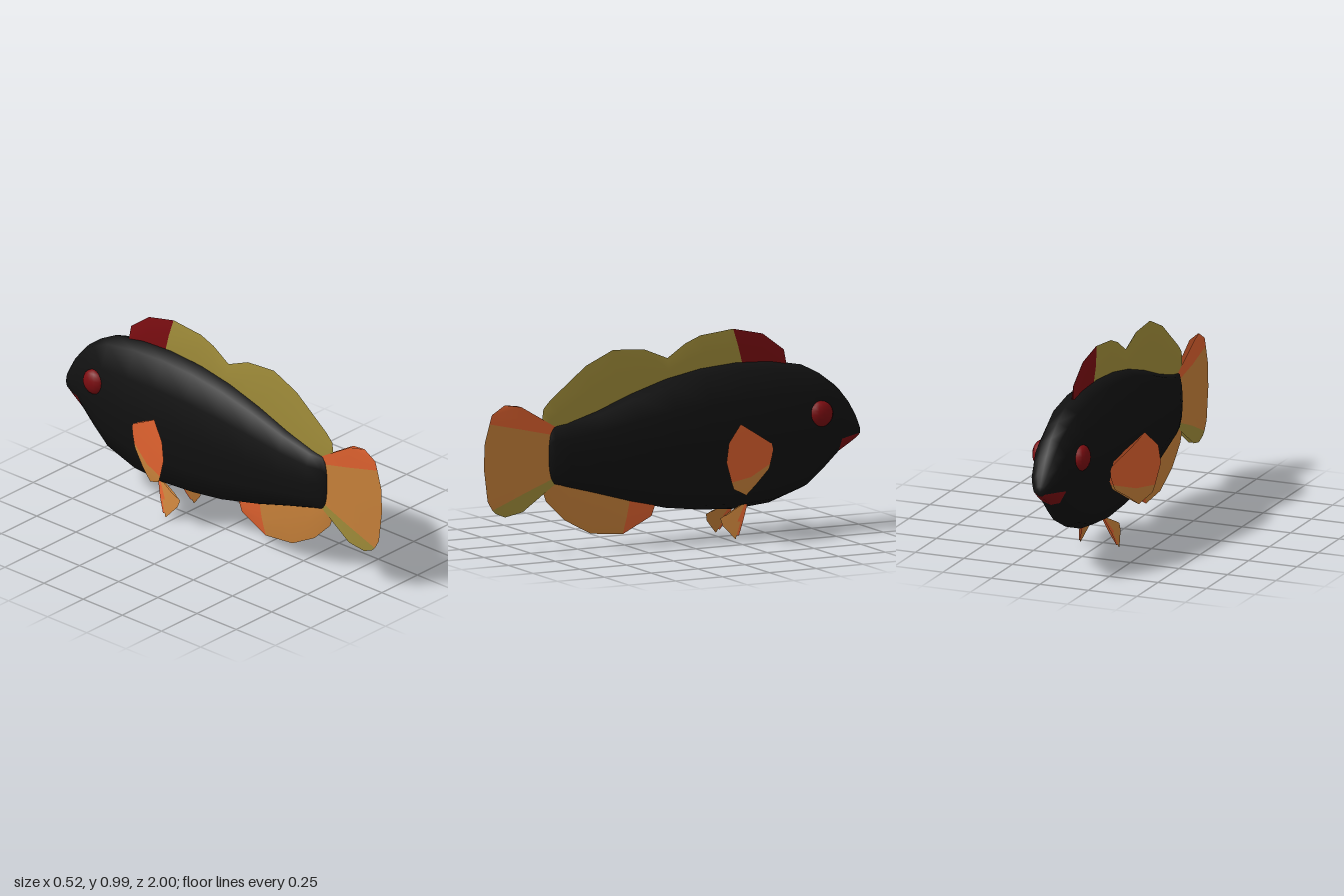
import * as THREE from 'three';

const mat = (name, color, side = THREE.FrontSide) => {
  const m = new THREE.MeshStandardMaterial({ color, side });
  m.name = name;
  return m;
};

function makeGeometry(positions, indices) {
  const g = new THREE.BufferGeometry();
  g.setAttribute('position', new THREE.Float32BufferAttribute(positions, 3));
  g.setIndex(indices);
  g.computeVertexNormals();
  return g;
}

// Lofted body: 12-sided rings along z, with the mouth as its own face group
function bodyGeometry() {
  // z, top, bottom, half width
  const rings = [
    [-0.995, 0.485, 0.435, 0.025], [-0.97, 0.54, 0.42, 0.052], [-0.925, 0.615, 0.393, 0.075],
    [-0.87, 0.685, 0.36, 0.092], [-0.79, 0.745, 0.285, 0.108], [-0.695, 0.795, 0.205, 0.125],
    [-0.52, 0.828, 0.147, 0.136], [-0.34, 0.836, 0.131, 0.138], [-0.15, 0.822, 0.142, 0.132],
    [0.03, 0.788, 0.165, 0.121], [0.22, 0.73, 0.21, 0.102], [0.4, 0.662, 0.262, 0.078],
    [0.56, 0.615, 0.305, 0.053], [0.63, 0.606, 0.322, 0.03], [0.655, 0.57, 0.36, 0.012],
  ];
  const heights = [1, 0.91, 0.53, 0, -0.53, -0.91, -1];
  const n = 12, pos = [], skin = [], mouth = [];
  for (const [z, top, bottom, w] of rings) {
    for (let k = 0; k < n; k++) {
      const h = heights[k <= 6 ? k : n - k];
      pos.push(w * Math.sin(k * Math.PI / 6), (top + bottom) / 2 + h * (top - bottom) / 2, z);
    }
  }
  for (let i = 0; i < rings.length - 1; i++) {
    for (let k = 0; k < n; k++) {
      const a = i * n + k, b = i * n + (k + 1) % n;
      (i < 3 && k >= 4 && k <= 7 ? mouth : skin).push(a, a + n, b, b, a + n, b + n);
    }
  }
  // nose and tail caps
  const nose = rings.length * n, end = nose + 1, last = nose - n;
  pos.push(0, 0.458, -1, 0, 0.465, 0.668);
  for (let k = 0; k < n; k++) {
    const k2 = (k + 1) % n;
    skin.push(nose, k, k2, end, last + k2, last + k);
  }
  const g = makeGeometry(pos, [...skin, ...mouth]);
  g.addGroup(0, skin.length, 0);
  g.addGroup(skin.length, mouth.length, 1);
  return g;
}

// Two-sided bulging fin. Rows of [z, y] run from root to edge;
// lean(z, y) gives the sideways offset and mirror is 1 or -1.
function finGeometry(rows, thick, lean = () => 0, mirror = 1) {
  if (rows.length === 2) {
    const [root, edge] = rows;
    rows = [root, root.map((p, i) => [p[0] * 0.45 + edge[i][0] * 0.55, p[1] * 0.45 + edge[i][1] * 0.55]), edge];
  }
  const cols = rows[0].length, pos = [], idx = [];
  const half = [thick * 0.7, thick, 0.0012];
  for (const s of [1, -1]) {
    const start = pos.length / 3;
    rows.forEach((row, j) => row.forEach(([z, y]) => pos.push(mirror * (lean(z, y) + s * half[j]), y, z)));
    for (let j = 0; j < 2; j++) {
      for (let i = 0; i < cols - 1; i++) {
        const a = start + j * cols + i, b = a + 1, c = a + cols, d = c + 1;
        if (s * mirror > 0) idx.push(a, b, c, b, d, c);
        else idx.push(a, c, b, b, c, d);
      }
    }
  }
  return makeGeometry(pos, idx);
}

export function createModel() {
  const model = new THREE.Group();
  model.name = 'fish';
  const black = mat('blackSkin', 0x111111);
  const red = mat('darkRed', 0x7c0d11);
  const coral = mat('coralOrange', 0xe0622f, THREE.DoubleSide);
  const orange = mat('amberOrange', 0xc9823a, THREE.DoubleSide);
  const olive = mat('oliveYellow', 0xa28e3a, THREE.DoubleSide);
  const redFin = mat('redFin', 0x7c0d11, THREE.DoubleSide);

  const add = (name, geometry, material) => {
    const mesh = new THREE.Mesh(geometry, material);
    mesh.name = name;
    model.add(mesh);
    return mesh;
  };

  add('body', bodyGeometry(), [black, red]);

  // Back fin: long olive part with two lobes, red front
  add('dorsalFinRear', finGeometry([
    [[0.64, 0.57], [0.62, 0.57], [0.55, 0.59], [0.42, 0.63], [0.29, 0.68], [0.144, 0.73], [0.02, 0.76], [-0.09, 0.78], [-0.2, 0.8], [-0.38, 0.81]],
    [[0.69, 0.63], [0.682, 0.69], [0.645, 0.73], [0.455, 0.88], [0.31, 0.945], [0.144, 0.934], [0.02, 0.882], [-0.075, 0.945], [-0.155, 0.977], [-0.33, 0.995]],
  ], 0.009), olive);
  add('dorsalFinFront', finGeometry([
    [[-0.38, 0.81], [-0.48, 0.81], [-0.56, 0.79], [-0.6, 0.79]],
    [[-0.33, 0.995], [-0.487, 0.96], [-0.6, 0.875], [-0.615, 0.8]],
  ], 0.009), redFin);

  // Tail fin in three bands
  add('tailFinLower', finGeometry([
    [[0.62, 0.33], [0.62, 0.345], [0.62, 0.36]],
    [[0.8, 0.207], [0.79, 0.25], [0.78, 0.3]],
    [[0.888, 0.187], [0.936, 0.207], [0.955, 0.225]],
  ], 0.012), olive);
  add('tailFinMiddle', finGeometry([
    [[0.62, 0.36], [0.62, 0.4], [0.62, 0.46], [0.62, 0.51], [0.62, 0.56]],
    [[0.78, 0.3], [0.79, 0.35], [0.8, 0.45], [0.8, 0.53], [0.79, 0.6]],
    [[0.955, 0.225], [0.98, 0.27], [1, 0.43], [0.995, 0.55], [0.97, 0.64]],
  ], 0.012), orange);
  add('tailFinUpper', finGeometry([
    [[0.62, 0.56], [0.62, 0.58], [0.62, 0.6]],
    [[0.79, 0.6], [0.79, 0.65], [0.807, 0.712]],
    [[0.97, 0.64], [0.957, 0.683], [0.888, 0.725]],
  ], 0.012), coral);

  // Belly fin near the tail
  add('analFinFront', finGeometry([
    [[0.09, 0.21], [0.13, 0.22], [0.22, 0.24]],
    [[0.088, 0.18], [0.107, 0.132], [0.25, 0.057], ].map((p, i) => i < 2 ? p : [0.26, 0.057]),
  ], 0.009), coral);
  add('analFinRear', finGeometry([
    [[0.22, 0.24], [0.36, 0.28], [0.48, 0.31], [0.58, 0.34], [0.62, 0.345]],
    [[0.26, 0.057], [0.43, 0.073], [0.57, 0.148], [0.668, 0.245], [0.685, 0.29]],
  ], 0.009), orange);

  // Paired side fins, belly fins and eyes
  const sideLean = (z) => 0.133 + (z + 0.46) * 0.42;
  const bellyLean = (z, y) => 0.057 + (0.155 - y) * 0.29;
  for (const [side, m] of [['left', 1], ['right', -1]]) {
    add(side + 'PectoralFinLower', finGeometry([
      [[-0.444, 0.335], [-0.45, 0.345], [-0.455, 0.36]],
      [[-0.36, 0.277], [-0.33, 0.293], [-0.32, 0.315]],
      [[-0.294, 0.23], [-0.21, 0.27], [-0.195, 0.305]],
    ], 0.009, sideLean, m), orange);
    add(side + 'PectoralFinUpper', finGeometry([
      [[-0.455, 0.36], [-0.47, 0.4], [-0.472, 0.43], [-0.465, 0.455]],
      [[-0.32, 0.315], [-0.31, 0.4], [-0.32, 0.46], [-0.36, 0.516]],
      [[-0.195, 0.305], [-0.16, 0.405], [-0.176, 0.496], [-0.257, 0.576]],
    ], 0.009, sideLean, m), coral);
    add(side + 'PelvicFinFront', finGeometry([
      [[-0.375, 0.16], [-0.36, 0.16]],
      [[-0.31, 0.02], [-0.27, 0.025]],
    ], 0.006, bellyLean, m), coral);
    add(side + 'PelvicFinRear', finGeometry([
      [[-0.36, 0.16], [-0.35, 0.16], [-0.34, 0.158]],
      [[-0.29, 0.004], [-0.232, 0.07], [-0.224, 0.103]],
    ], 0.006, bellyLean, m), orange);
    const eye = add(side + 'Eye', new THREE.SphereGeometry(1, 14, 10), red);
    eye.scale.set(0.038, 0.063, 0.063);
    eye.position.set(m * 0.105, 0.57, -0.743);
  }
  return model;
}
